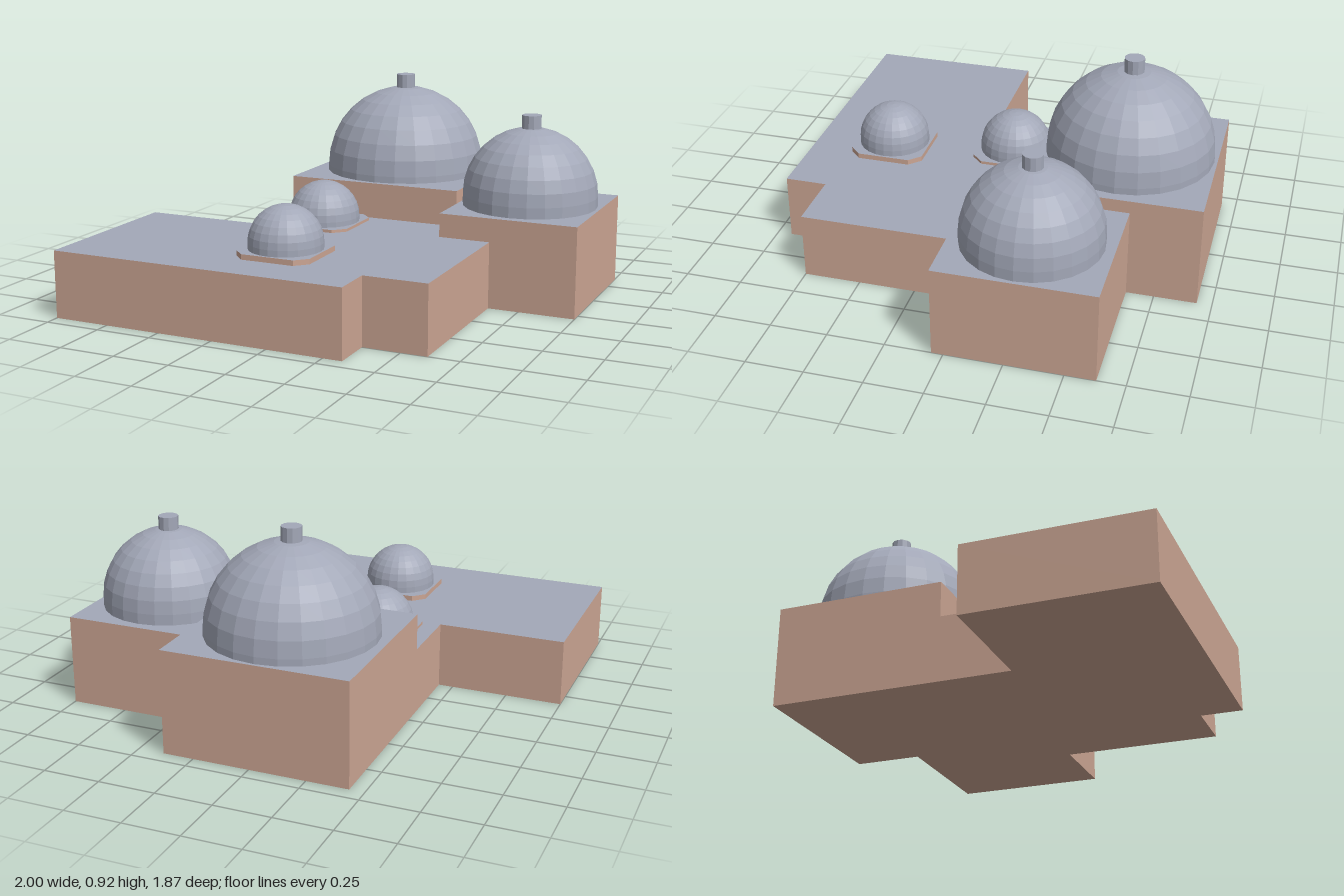
import * as THREE from 'three';

const clay = new THREE.MeshStandardMaterial({ color: 0xcca694, flatShading: true });
clay.name = 'clayWall';
const slate = new THREE.MeshStandardMaterial({ color: 0xa3a8b8, flatShading: true });
slate.name = 'slateRoof';

// Upright prism over an [x, z] outline: clay walls and underside, slate top
function prism(name, outline, y0, y1) {
  const shape = new THREE.Shape(outline.map(([x, z]) => new THREE.Vector2(x, -z)));
  const geo = new THREE.ExtrudeGeometry(shape, { depth: y1 - y0, bevelEnabled: false });
  geo.rotateX(-Math.PI / 2);
  const half = geo.groups[0].count / 2;
  const total = geo.attributes.position.count;
  geo.clearGroups();
  geo.addGroup(0, half, 0);
  geo.addGroup(half, half, 1);
  geo.addGroup(half * 2, total - half * 2, 0);
  const mesh = new THREE.Mesh(geo, [clay, slate]);
  mesh.name = name;
  mesh.position.y = y0;
  return mesh;
}

const rect = (x0, x1, z0, z1) => [[x0, z1], [x1, z1], [x1, z0], [x0, z0]];

// Square with cut corners
function cutSquare(x, z, h, c) {
  const k = h - c;
  return [[-k, h], [k, h], [h, k], [h, -k], [k, -h], [-k, -h], [-h, -k], [-h, k]]
    .map(([a, b]) => [x + a, z + b]);
}

// Hemisphere on a short drum
function dome(name, x, z, radius, base, top) {
  const drum = top - base - radius;
  const pts = [new THREE.Vector2(radius, 0)];
  const rows = 8;
  for (let i = 0; i <= rows; i++) {
    const a = (i / rows) * Math.PI / 2;
    pts.push(new THREE.Vector2(i === rows ? 0 : radius * Math.cos(a), drum + radius * Math.sin(a)));
  }
  const mesh = new THREE.Mesh(new THREE.LatheGeometry(pts, 24), slate);
  mesh.name = name;
  mesh.position.set(x, base, z);
  return mesh;
}

function finial(name, x, z, y0, y1) {
  const mesh = new THREE.Mesh(new THREE.CylinderGeometry(0.044, 0.044, y1 - y0, 12), slate);
  mesh.name = name;
  mesh.position.set(x, (y0 + y1) / 2, z);
  return mesh;
}

export function createModel() {
  const model = new THREE.Group();
  model.name = 'domedBuilding';

  // Low wing and the two taller blocks
  model.add(
    prism('lowWing', [
      [-1, 0.935], [0.335, 0.935], [0.335, 0.75], [0.615, 0.75], [0.615, 0.05],
      [0.385, 0.05], [0.385, -0.16], [-0.435, -0.16], [-0.435, 0.16], [-1, 0.16],
    ], 0, 0.295),
    prism('mainBlock', rect(-0.435, 0.385, -0.935, -0.16), 0, 0.457),
    prism('sideBlock', rect(0.385, 1, -0.63, 0.05), 0, 0.4),
  );

  // Large domes with finials
  model.add(
    dome('mainDome', -0.028, -0.552, 0.37, 0.457, 0.857),
    finial('mainFinial', -0.028, -0.552, 0.84, 0.915),
    dome('sideDome', 0.685, -0.288, 0.3, 0.4, 0.748),
    finial('sideFinial', 0.685, -0.288, 0.73, 0.803),
  );

  // Small domes on cut-corner plinths
  for (const [name, x, z, plinthTop, top] of [
    ['rear', -0.19, 0.012, 0.308, 0.49],
    ['front', -0.094, 0.57, 0.318, 0.505],
  ]) {
    model.add(
      prism(name + 'Plinth', cutSquare(x, z, 0.169, 0.05), 0.295, plinthTop),
      dome(name + 'SmallDome', x, z, 0.16, plinthTop, top),
    );
  }
  return model;
}
